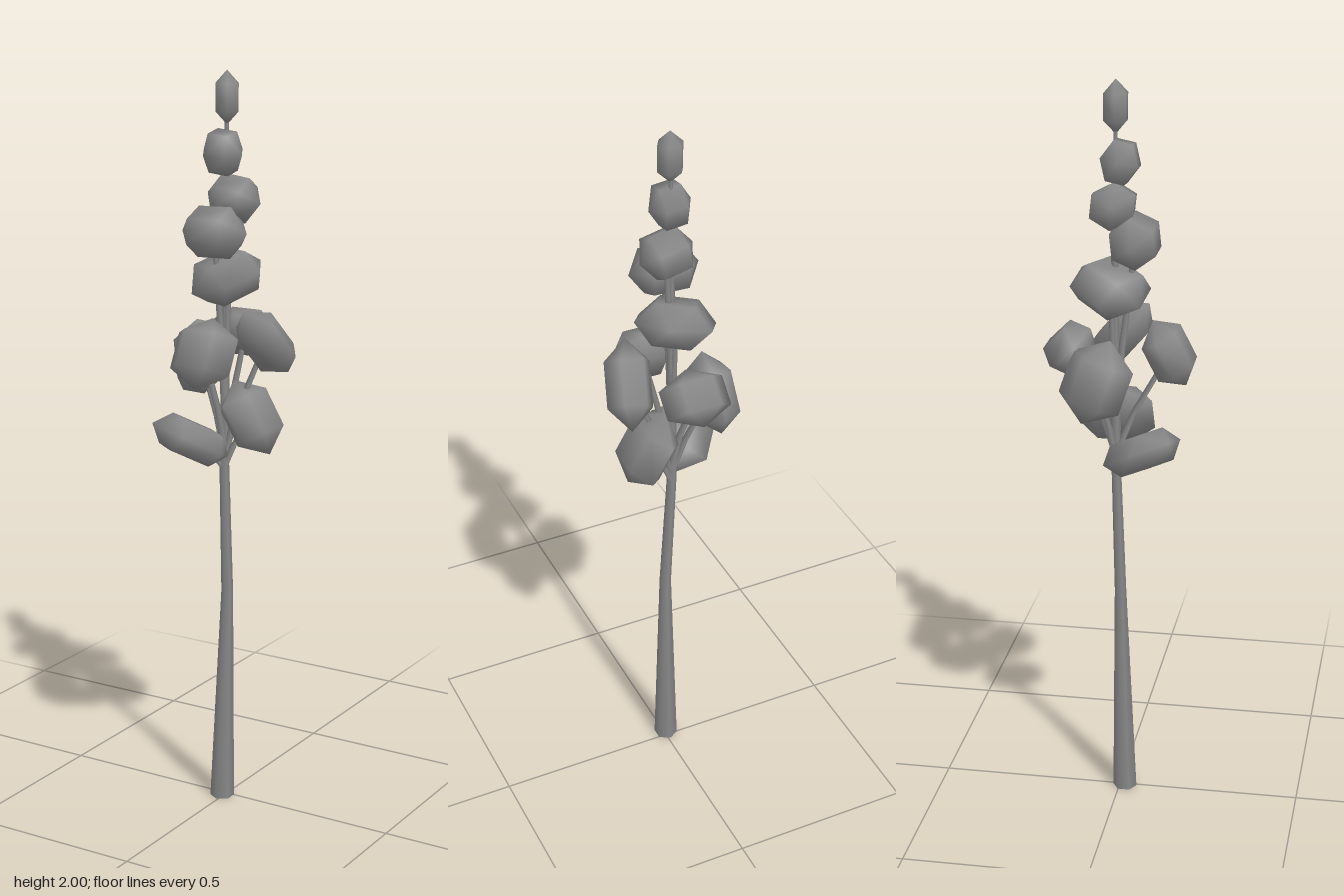
import * as THREE from 'three';

export function createModel() {
  const group = new THREE.Group();
  group.name = 'flowerSpike';
  const grey = new THREE.MeshStandardMaterial({ color: 0x888888 });
  grey.name = 'plain grey';

  // Low-poly bloom, scaled so it spans -1..1 on each axis
  const bloomGeometry = new THREE.SphereGeometry(1, 6, 3);
  bloomGeometry.scale(1 / 0.866, 1, 1 / 0.75);

  // Bloom laid along a long axis, thin along its normal; size = [length, width, thickness] halves
  function bloom(name, center, longAxis, normal, [length, width, thickness]) {
    const y = new THREE.Vector3(...longAxis).normalize();
    const x = new THREE.Vector3().crossVectors(y, new THREE.Vector3(...normal)).normalize();
    const z = new THREE.Vector3().crossVectors(x, y);
    const mesh = new THREE.Mesh(bloomGeometry, grey);
    mesh.name = name;
    mesh.quaternion.setFromRotationMatrix(new THREE.Matrix4().makeBasis(x, y, z));
    mesh.scale.set(width, length, thickness);
    mesh.position.set(...center);
    group.add(mesh);
  }

  // Six-sided tapering limb through rings of [x, y, z, radius], bottom to top
  function limb(name, rings) {
    const n = rings.length - 1;
    const geometry = new THREE.CylinderGeometry(1, 1, 1, 6, n);
    const pos = geometry.attributes.position;
    for (let i = 0; i < pos.count; i++) {
      const [x, y, z, r] = rings[Math.round((pos.getY(i) + 0.5) * n)];
      pos.setXYZ(i, x + pos.getX(i) * r, y, z + pos.getZ(i) * r);
    }
    const mesh = new THREE.Mesh(geometry, grey);
    mesh.name = name;
    group.add(mesh);
  }

  // Main stem
  limb('stem', [
    [-0.006, 0, 0.015, 0.033],
    [0.002, 0.6, 0.001, 0.016],
    [-0.013, 0.97, -0.008, 0.013],
    [-0.01, 1.4, -0.012, 0.01],
    [-0.006, 1.9, -0.01, 0.005],
  ]);

  // Blooms: name, center, long axis, normal, half sizes, height where the stalk leaves the stem
  const blooms = [
    ['topBud', [-0.005, 1.93, -0.01], [0, 1, 0], [0, 0, 1], [0.07, 0.035, 0.029]],
    ['upperBud', [-0.01, 1.79, 0.003], [1, -0.1, 0], [0, 1, 0.2], [0.058, 0.05, 0.053]],
    ['upperBackBloom', [0.01, 1.67, -0.02], [1, -0.15, -0.1], [0, 0.9, -0.45], [0.077, 0.066, 0.052], 1.2],
    ['upperFrontBloom', [-0.012, 1.587, 0.042], [1, 0.03, 0], [0, 0.9, 0.4], [0.098, 0.066, 0.058], 1.1],
    ['middleBloom', [-0.015, 1.46, -0.022], [0.5, 0.35, -0.8], [-0.25, 0.9, 0.3], [0.108, 0.1, 0.055], 1.05],
    ['frontBloom', [0.01, 1.283, 0.13], [0, 0.87, -0.45], [0, 0.45, 0.87], [0.098, 0.09, 0.05], 1.0],
    ['leftBloom', [0.113, 1.3, -0.012], [0.2, -0.75, -0.62], [0, 0.65, -0.75], [0.122, 0.062, 0.048], 0.98],
    ['rightBloom', [-0.11, 1.23, -0.045], [0.1, 0.9, 0.3], [-1, 0.1, -0.1], [0.118, 0.085, 0.053], 0.98],
    ['backBloom', [-0.02, 1.293, -0.13], [0, -0.7, -0.7], [0, 0.7, -0.7], [0.078, 0.09, 0.05], 1.0],
    ['lowerLeftBloom', [0.066, 1.09, -0.02], [0.5, -0.85, 0], [0.85, 0.5, 0], [0.11, 0.1, 0.048], 0.95],
    ['lowerFrontBloom', [-0.07, 1.03, 0.07], [-0.55, 0.45, 0.68], [0.25, 0.9, -0.35], [0.12, 0.09, 0.045], 0.94],
  ];

  for (const [name, center, longAxis, normal, size, stalkStart] of blooms) {
    bloom(name, center, longAxis, normal, size);
    if (!stalkStart) continue;
    // Stalk that rises beside the stem, then bends out to its bloom
    const [x, y, z] = center;
    const at = (t, out, r) => [
      THREE.MathUtils.lerp(-0.012, x, out),
      THREE.MathUtils.lerp(stalkStart, y, t),
      THREE.MathUtils.lerp(-0.009, z, out),
      r,
    ];
    limb(name + 'Stalk', [at(0, 0, 0.01), at(0.4, 0.32, 0.009), at(0.75, 0.72, 0.008), at(1, 1, 0.007)]);
  }

  return group;
}
